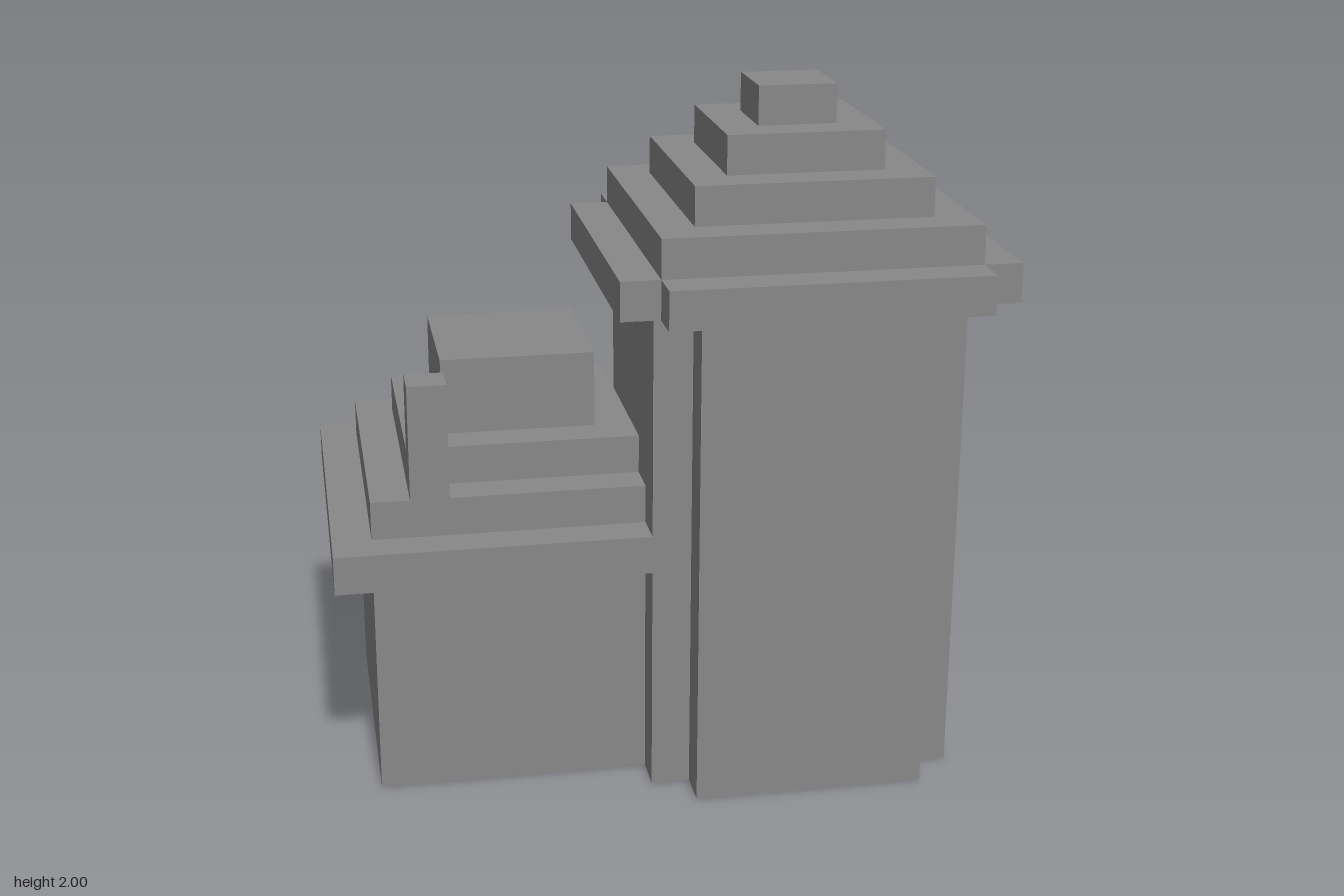
import * as THREE from 'three';

const UNIT = 1 / 9; // one block
const MID = 8.5;    // plan centre in blocks

export function createModel() {
  const model = new THREE.Group();
  model.name = 'towerHouse';
  const stone = new THREE.MeshStandardMaterial({ color: 0x888888 });
  stone.name = 'grey stone';

  const group = (name) => {
    const g = new THREE.Group();
    g.name = name;
    model.add(g);
    return g;
  };

  // Box between block coordinates [min, max] on each axis
  function block(parent, name, [x0, x1], [y0, y1], [z0, z1]) {
    const geo = new THREE.BoxGeometry((x1 - x0) * UNIT, (y1 - y0) * UNIT, (z1 - z0) * UNIT);
    const mesh = new THREE.Mesh(geo, stone);
    mesh.name = name;
    mesh.position.set(((x0 + x1) / 2 - MID) * UNIT, ((y0 + y1) / 2) * UNIT, ((z0 + z1) / 2 - MID) * UNIT);
    parent.add(mesh);
  }

  // Square prism with a one-block notch in each corner
  function notchedPrism(parent, name, centre, half, y0, y1) {
    const a = half * UNIT, b = (half - 1) * UNIT;
    const shape = new THREE.Shape([
      [b, -a], [b, -b], [a, -b], [a, b], [b, b], [b, a],
      [-b, a], [-b, b], [-a, b], [-a, -b], [-b, -b], [-b, -a],
    ].map(([x, y]) => new THREE.Vector2(x, y)));
    const geo = new THREE.ExtrudeGeometry(shape, { depth: (y1 - y0) * UNIT, bevelEnabled: false });
    geo.rotateX(-Math.PI / 2);
    const mesh = new THREE.Mesh(geo, stone);
    mesh.name = name;
    mesh.position.set((centre - MID) * UNIT, y0 * UNIT, (centre - MID) * UNIT);
    parent.add(mesh);
  }

  // Tower: notched shaft and eave under a stepped pyramid
  const tower = group('tower');
  notchedPrism(tower, 'towerWalls', 12, 4, 0, 13);
  notchedPrism(tower, 'towerEave', 12, 5, 13, 14);
  for (let i = 0; i < 4; i++) {
    const span = [8 + i, 16 - i];
    block(tower, `towerRoofStep${i + 1}`, span, [14 + i, 15 + i], span);
  }

  // House: walls, then eave and roof steps shrinking by one block per side
  const house = group('house');
  block(house, 'houseWalls', [1, 9], [0, 6], [6, 14]);
  ['houseEave', 'houseRoofStep1', 'houseRoofStep2', 'houseRoofTop'].forEach((name, i) => {
    const top = i === 3 ? 11 : 7 + i;
    block(house, name, [i, 10 - i], [6 + i, top], [5 + i, 15 - i]);
  });
  block(house, 'chimney', [2, 3], [8, 11], [13, 14]);

  // Flat-roofed annex behind the house, with a projecting bay
  const annex = group('annex');
  block(annex, 'annexWalls', [2, 9], [0, 6], [1, 6]);
  block(annex, 'annexBay', [4, 7], [0, 6], [0, 1]);

  return model;
}
